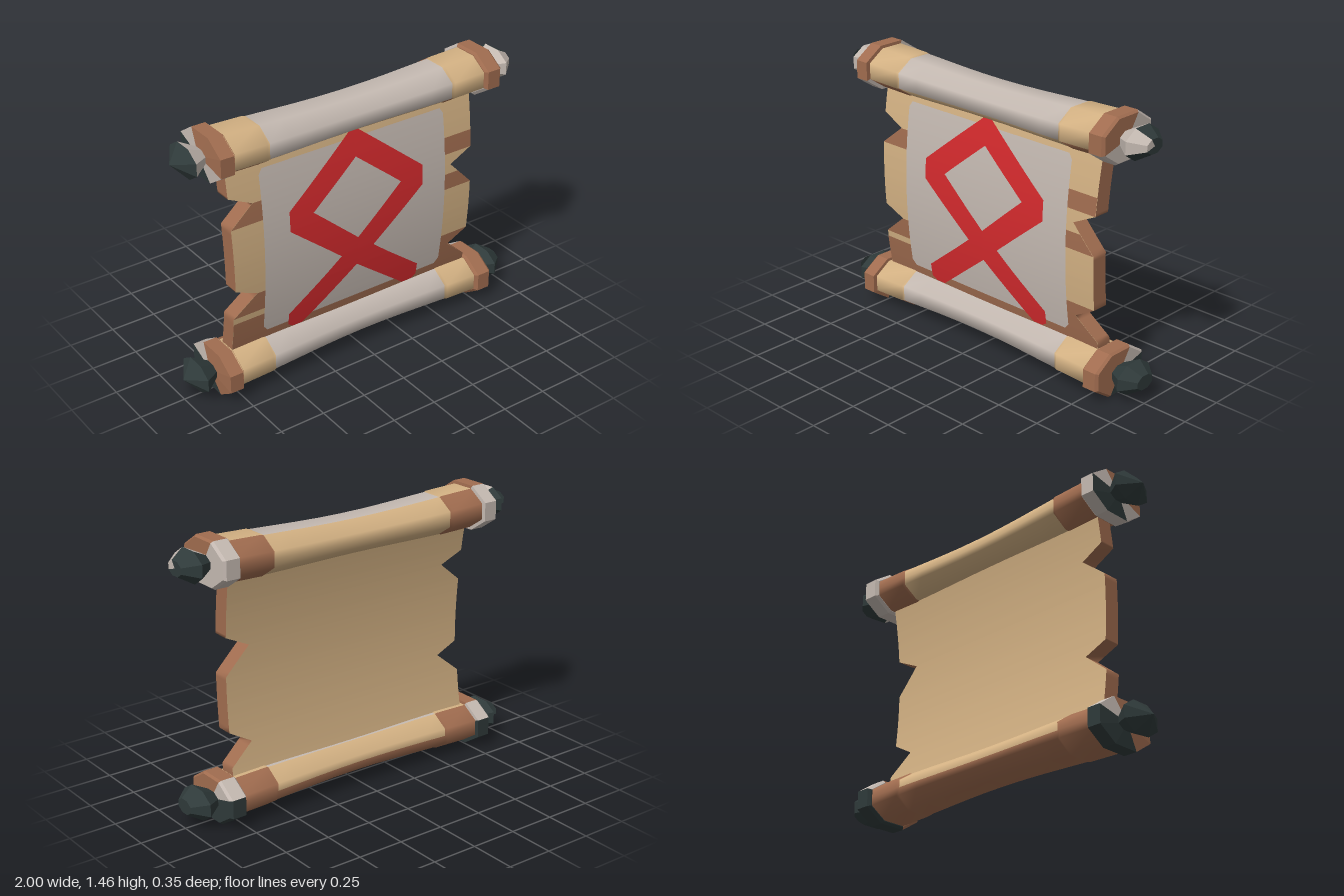
import * as THREE from 'three';

const mat = (name, color) => Object.assign(new THREE.MeshStandardMaterial({ color }), { name });
const TAN = 0, WHITE = 1, BROWN = 2, DARK = 3, RED = 4;

// Flattened octagon ring; facets: 0 front, 1 front-up, 2 top, 3 back-up,
// 4/5 back (upper/lower half), 6 back-low, 7 bottom, 8 front-low
const RING = [-22.5, 22.5, 67.5, 112.5, 157.5, 180, 202.5, 247.5, 292.5].map((deg) => {
  const a = THREE.MathUtils.degToRad(deg), r = deg === 180 ? Math.cos(Math.PI / 8) : 1;
  return [Math.cos(a) * r * 1.5, Math.sin(a) * r];
});

// Joins rings along x; stations are [x, radius, y]; paint(facet, x) picks the colour
function loft(name, mats, stations, paint, flat) {
  const st = [...stations].sort((a, b) => a[0] - b[0]);
  const n = RING.length, pos = [], lists = mats.map(() => []);
  for (const [x, r, y] of st) for (const [z, h] of RING) pos.push(x, y + h * r, z * r);
  for (let i = 0; i < st.length - 1; i++) {
    for (let k = 0; k < n; k++) {
      const a = i * n + k, d = i * n + (k + 1) % n, b = a + n, c = d + n;
      const out = lists[paint(k, (st[i][0] + st[i + 1][0]) / 2)];
      if (st[i + 1][1] > 0) out.push(a, b, c);
      if (st[i][1] > 0) out.push(a, c, d);
      if (st[i + 1][1] === 0) out.push(a, b, d);
    }
  }
  let g = new THREE.BufferGeometry();
  g.setAttribute('position', new THREE.Float32BufferAttribute(pos, 3));
  g.setIndex(lists.flat());
  let start = 0;
  lists.forEach((l, m) => {
    if (l.length) g.addGroup(start, l.length, m);
    start += l.length;
  });
  if (flat) g = g.toNonIndexed();
  g.computeVertexNormals();
  const mesh = new THREE.Mesh(g, mats);
  mesh.name = name;
  return mesh;
}

// Bowed parchment: front surface depth at a height
const bow = (y) => 0.095 - 0.18 * (y - 0.73) ** 2;
const THICK = 0.09;

// Torn side outlines as [y, x], from the bottom up
const LEFT = [[0.15, -0.74], [0.42, -0.74], [0.53, -0.605], [0.585, -0.73], [0.935, -0.74],
  [1.04, -0.61], [1.1, -0.74], [1.31, -0.74]];
const RIGHT = [[0.15, 0.74], [0.26, 0.74], [0.37, 0.61], [0.44, 0.735], [0.73, 0.735],
  [0.87, 0.6], [0.935, 0.735], [1.31, 0.74]];
const line = (x) => [[0, x], [2, x]];

function at(pts, y) {
  for (let i = 1; i < pts.length; i++) {
    const [y0, x0] = pts[i - 1], [y1, x1] = pts[i];
    if (y <= y1) return x0 + (x1 - x0) * (y - y0) / (y1 - y0);
  }
  return pts[pts.length - 1][1];
}

// Bowed strip between two edges; each edge is an outline plus a depth offset
function strip(name, material, y0, y1, a, b, za, zb = za) {
  const ys = [y0, y1, ...a.map((p) => p[0]), ...b.map((p) => p[0])];
  for (let y = y0; y < y1; y += 0.04) ys.push(y);
  const rows = [...new Set(ys)].filter((y) => y >= y0 && y <= y1).sort((p, q) => p - q);
  const pos = [], idx = [];
  rows.forEach((y, i) => {
    pos.push(at(a, y), y, bow(y) + za, at(b, y), y, bow(y) + zb);
    const k = i * 2;
    if (i < rows.length - 1) idx.push(k, k + 1, k + 3, k, k + 3, k + 2);
  });
  const g = new THREE.BufferGeometry();
  g.setAttribute('position', new THREE.Float32BufferAttribute(pos, 3));
  g.setIndex(idx);
  g.computeVertexNormals();
  const mesh = new THREE.Mesh(g, material);
  mesh.name = name;
  return mesh;
}

function parchment(mats) {
  const g = new THREE.Group();
  g.name = 'parchment';
  const add = (...args) => g.add(strip(...args));
  add('sheetFront', mats[TAN], 0.15, 1.31, LEFT, RIGHT, 0);
  add('sheetBack', mats[TAN], 0.15, 1.31, RIGHT, LEFT, -THICK);
  add('leftTornEdge', mats[BROWN], 0.15, 1.31, LEFT, LEFT, -THICK, 0);
  add('rightTornEdge', mats[BROWN], 0.15, 1.31, RIGHT, RIGHT, 0, -THICK);

  // Worn brown patches along the margins
  add('wornFoot', mats[BROWN], 0.15, 0.385, LEFT, RIGHT, 0.002);
  for (const [y0, y1] of [[0.42, 0.53], [0.935, 1.04]])
    add('wornPatch', mats[BROWN], y0, y1, LEFT, line(-0.55), 0.002);
  for (const [y0, y1] of [[0.385, 0.44], [0.73, 0.82], [0.935, 1.03]])
    add('wornPatch', mats[BROWN], y0, y1, line(0.55), RIGHT, 0.002);

  // Pale writing panel with slightly rounded corners
  const side = (s) => [[0.27, s * 0.535], [0.3, s * 0.56], [1.17, s * 0.56], [1.2, s * 0.54]];
  add('palePanel', mats[WHITE], 0.27, 1.2, side(-1), side(1), 0.004);

  // Painted diamond with crossed legs: [y, inner x, outer x], mirrored
  const rows = [[0.23, 0.32, 0.38], [0.25, 0.295, 0.41], [0.32, 0.205, 0.41], [0.48, 0, 0.205],
    [0.565, 0, 0.1], [0.645, 0, 0.196], [0.82, 0.2, 0.41], [0.88, 0.27, 0.41],
    [0.93, 0.21, 0.41], [1.1, 0, 0.2], [1.26, 0, 0]];
  const edge = (col, s) => rows.map((r) => [r[0], s * r[col]]);
  add('paintedMarkLeft', mats[RED], 0.23, 1.26, edge(1, 1), edge(2, 1), 0.008);
  add('paintedMarkRight', mats[RED], 0.23, 1.26, edge(2, -1), edge(1, -1), 0.008);
  return g;
}

function roller(mats, upper) {
  const g = new THREE.Group();
  g.name = upper ? 'upperRoller' : 'lowerRoller';
  const cy = upper ? 1.337 : 0.118, inward = upper ? -0.013 : 0.013;

  // Waisted rolled tube, drawn slightly inward at the middle
  const half = [[0.78, 0.112], [0.56, 0.111], [0.545, 0.107], [0.42, 0.104], [0.28, 0.1], [0.14, 0.097]];
  const tube = [[0, 0.096], ...half, ...half.map(([x, r]) => [-x, r])]
    .map(([x, r]) => [x, r, cy + inward * (1 - (x / 0.78) ** 2)]);
  g.add(loft('rolledTube', mats, tube, (k, x) => {
    const end = Math.abs(x) > 0.545;
    if (k <= 2) return end ? TAN : WHITE;
    if (end || (!upper && k >= 5)) return BROWN;
    return TAN;
  }, false));

  for (const s of [-1, 1]) {
    // Octagonal collar
    const collar = [[0.745, 0], [0.745, 0.115], [0.757, 0.128], [0.832, 0.128], [0.845, 0.118], [0.845, 0]];
    g.add(loft('collar', mats, collar.map(([x, r]) => [s * x, r, cy]), (k, x) => {
      if (k <= 2) return BROWN;
      if (upper) return s < 0 && Math.abs(x) > 0.835 && k >= 4 && k <= 7 ? DARK : WHITE;
      if (k === 8) return BROWN;
      return k === 3 ? WHITE : DARK;
    }, true));

    // Faceted knob
    const knob = [[0.84, 0.042], [0.925, 0.086], [1, 0.04], [1, 0]];
    g.add(loft('knob', mats, knob.map(([x, r]) => [s * x, r, cy]), (k, x) => {
      if (!upper) return DARK;
      const inner = Math.abs(x) < 0.925;
      if (s < 0) return inner && (k <= 2 || k === 8) ? WHITE : DARK;
      return k <= 1 || (k === 2 && inner) || (k === 8 && inner) ? WHITE : DARK;
    }, true));
  }
  return g;
}

export function createModel() {
  const mats = [
    mat('tan parchment', 0xd3b183),
    mat('pale grey', 0xc4b9b1),
    mat('brown leather', 0xa06c4f),
    mat('dark slate', 0x2f3a3a),
    mat('red paint', 0xd42a2d),
  ];
  const group = new THREE.Group();
  group.name = 'scroll';
  group.add(parchment(mats), roller(mats, true), roller(mats, false));
  return group;
}
